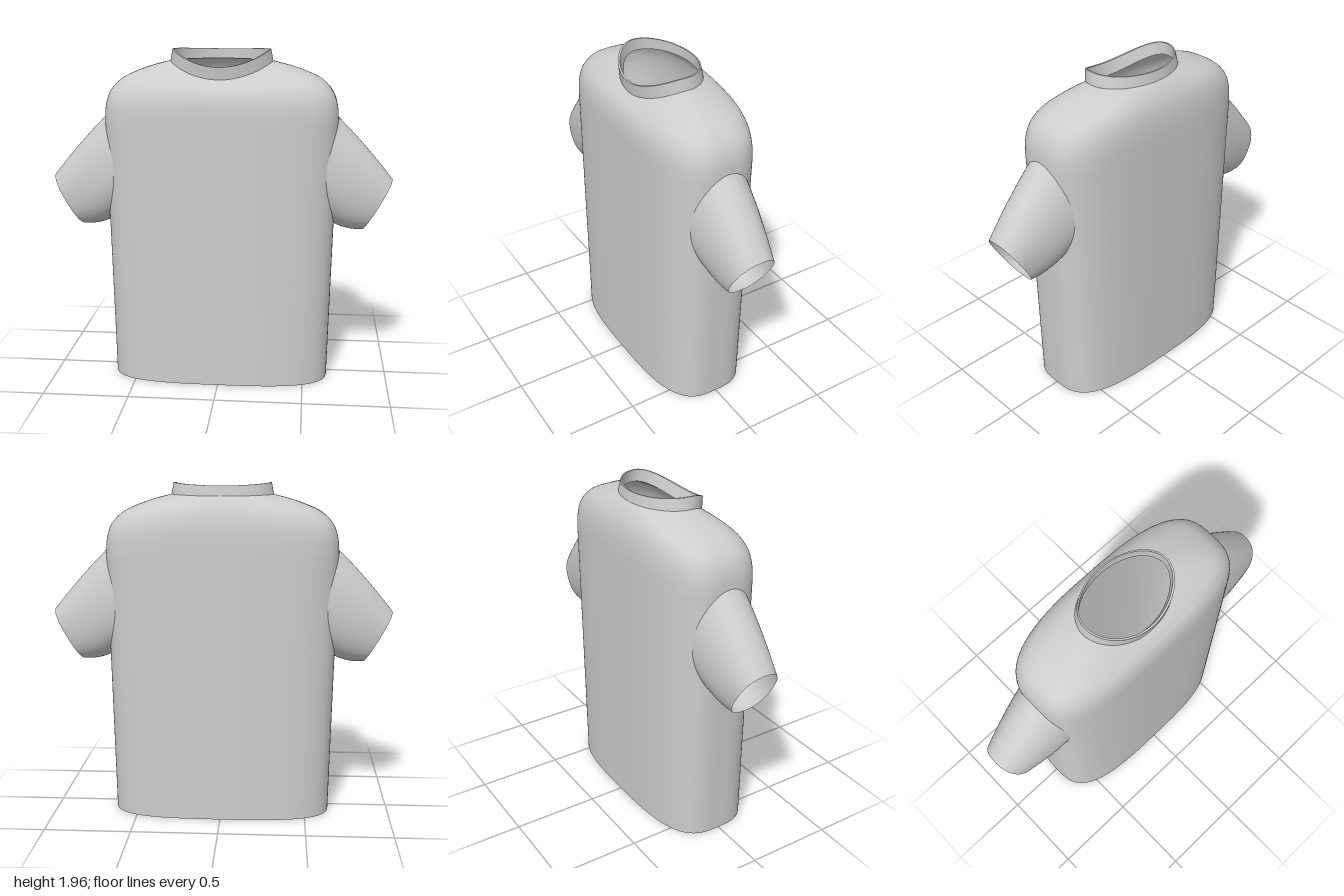
import * as THREE from 'three';
import { mergeGeometries } from 'three/addons/utils/BufferGeometryUtils.js';

const fabric = new THREE.MeshStandardMaterial({ color: 0xcccccc, side: THREE.DoubleSide });
fabric.name = 'greyFabric';

const POWER = 3.2;   // squareness of the torso section
const DEPTH = 0.29;  // half depth of the torso
const YOKE = 1.56;   // height where the shoulders start to round over

const spow = (v, p) => Math.sign(v) * Math.abs(v) ** p;
const mix = THREE.MathUtils.lerp;
const halfWidth = (y) => mix(0.645, 0.678, Math.min(y / YOKE, 1));

// Smooth closed-loop surface: point(row 0..1, angle) -> [x, y, z]
function loft(rows, segs, point, keep = () => true) {
  const pos = [], index = [];
  for (let i = 0; i <= rows; i++)
    for (let j = 0; j < segs; j++) pos.push(...point(i / rows, (j / segs) * Math.PI * 2));
  for (let i = 0; i < rows; i++)
    for (let j = 0; j < segs; j++) {
      const a = i * segs + j, b = i * segs + ((j + 1) % segs), c = a + segs, d = b + segs;
      const mid = [0, 1, 2].map((k) => (pos[a * 3 + k] + pos[d * 3 + k]) / 2);
      if (keep(...mid)) index.push(a, c, b, b, c, d);
    }
  const g = new THREE.BufferGeometry();
  g.setAttribute('position', new THREE.Float32BufferAttribute(pos, 3));
  g.setIndex(index);
  g.computeVertexNormals();
  return g;
}

// Armhole: an ellipse in the side plane
const ARM = { y: 1.255, ry: 0.315, rz: 0.19 };
const outsideArmhole = (x, y, z) =>
  Math.abs(x) < 0.4 || Math.hypot((y - ARM.y) / ARM.ry, z / ARM.rz) > 0.93;

// Neckline dips at the front
const neckBase = (t) => 1.89 - 0.09 * Math.max(Math.sin(t), 0) ** 2;

// Shoulder roll: inward travel (x) against rise (y)
const roll = new THREE.CatmullRomCurve3(
  [[0, 0], [0.02, 0.25], [0.09, 0.48], [0.25, 0.68], [0.45, 0.8], [0.71, 0.91], [1, 1]]
    .map(([f, h]) => new THREE.Vector3(f, h, 0)));

function torsoPoint(v, t) {
  const split = 0.62;
  const y = Math.min(v / split, 1) * YOKE;
  const x = halfWidth(y) * spow(Math.cos(t), 2 / POWER);
  const z = DEPTH * spow(Math.sin(t), 2 / POWER);
  if (v <= split) return [x, y, z];
  const r = roll.getPoint((v - split) / (1 - split));
  return [
    mix(x, 0.288 * Math.cos(t), r.x),
    mix(YOKE, neckBase(t), r.y),
    mix(z, 0.193 * Math.sin(t), r.x),
  ];
}

// Sleeve runs from the armhole on the torso surface to a slanted cuff
function sleevePoint(side) {
  return (v, u) => {
    const c = Math.cos(u), s = Math.sin(u);
    const ry = ARM.y + ARM.ry * c, rz = ARM.rz * s;
    const rx = halfWidth(ry) * (1 - Math.abs(rz / DEPTH) ** POWER) ** (1 / POWER);
    const k = spow(c, 2 / 2.3);
    const cuff = [0.915 + 0.085 * k, 1.06 + 0.15 * k, 0.125 * spow(s, 2 / 2.3)];
    const bulge = 4 * v * (1 - v);
    return [
      side * mix(rx, cuff[0], v),
      mix(ry, cuff[1], v) + 0.012 * bulge * c,
      -side * (mix(rz, cuff[2], v) + 0.006 * bulge * s),
    ];
  };
}

// Collar rings: outer base, outer rim, inner rim, inner base
const rimHeight = (t) => 1.955 - (Math.sin(t) > 0 ? 0.088 : 0.012) * Math.sin(t) ** 2;
const collarRings = [
  { rx: 0.297, rz: 0.2, cz: 0, y: (t) => neckBase(t) - 0.004 },
  { rx: 0.284, rz: 0.2, cz: 0.01, y: rimHeight },
  { rx: 0.274, rz: 0.19, cz: 0.008, y: rimHeight },
  { rx: 0.275, rz: 0.178, cz: -0.003, y: (t) => neckBase(t) - 0.004 },
];
const ringPoint = (r, t) => [r.rx * Math.cos(t), r.y(t), r.cz + r.rz * Math.sin(t)];

export function createModel() {
  const group = new THREE.Group();
  group.name = 'shirt';
  const add = (name, geometry) => {
    const mesh = new THREE.Mesh(geometry, fabric);
    mesh.name = name;
    group.add(mesh);
  };

  add('torso', loft(100, 160, torsoPoint, outsideArmhole));
  add('leftSleeve', loft(20, 64, sleevePoint(1)));
  add('rightSleeve', loft(20, 64, sleevePoint(-1)));

  // Separate strips keep the collar edges crisp
  const strips = [0, 1, 2].map((i) => loft(4, 96, (v, t) => {
    const a = ringPoint(collarRings[i], t), b = ringPoint(collarRings[i + 1], t);
    return a.map((n, k) => mix(n, b[k], v));
  }));
  add('collar', mergeGeometries(strips));

  return group;
}
